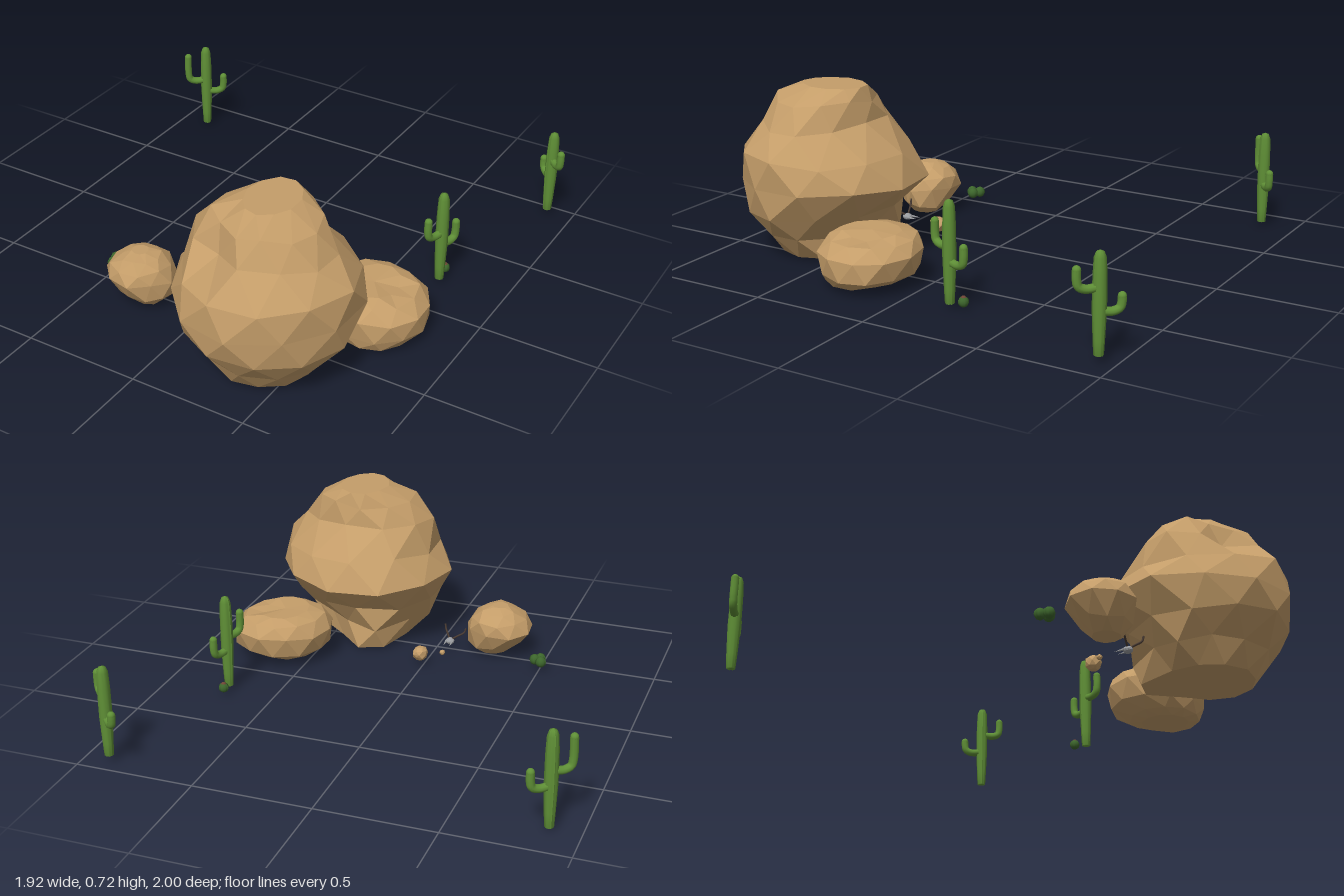
import * as THREE from 'three';

const mat = (color, flatShading = false) => new THREE.MeshStandardMaterial({ color, flatShading });
const rockMat = mat(0xc49d69, true);
const greenMat = mat(0x5f8f36);
const darkGreenMat = mat(0x3d662c);
const flowerMat = mat(0x6e4636);
const boneMat = mat(0x9a9ca0, true);
const hornMat = mat(0x4a3c34);
const vec = (x, y, z) => new THREE.Vector3(x, y, z);

function seeded(seed) {
  let s = seed;
  return () => (s = (s * 16807) % 2147483647) / 2147483647;
}

function addMesh(parent, name, geometry, material) {
  const m = new THREE.Mesh(geometry, material);
  m.name = name;
  parent.add(m);
  return m;
}

// Faceted boulder from staggered rings: [y, xMin, xMax, zMin, zMax].
// radii shapes the outline around the vertical axis, from +x towards +z.
function boulder(rings, segments, seed, { radii = [1], jitter, dents = [] }) {
  const rnd = seeded(seed);
  const pts = [];
  const radiusAt = (a) => {
    const t = ((a / (Math.PI * 2)) % 1) * radii.length;
    const i = Math.floor(t);
    return THREE.MathUtils.lerp(radii[i % radii.length], radii[(i + 1) % radii.length], t - i);
  };
  const height = rings[rings.length - 1][0] - rings[0][0];
  rings.forEach(([y, x0, x1, z0, z1], k) => {
    const inner = k > 0 && k < rings.length - 1;
    for (let j = 0; j < segments; j++) {
      const a = ((j + k / 2) / segments) * Math.PI * 2;
      const r = radiusAt(a) * (1 + (rnd() - 0.3) * jitter);
      const p = vec(
        (x0 + x1) / 2 + (Math.cos(a) * r * (x1 - x0)) / 2,
        y + (inner ? (rnd() - 0.5) * height * jitter : 0),
        (z0 + z1) / 2 + (Math.sin(a) * r * (z1 - z0)) / 2);
      // push vertices near a dent or bulge
      for (const { at, size, push } of dents) {
        p.addScaledVector(push, Math.max(0, 1 - p.distanceTo(at) / size));
      }
      pts.push(p);
    }
  });
  const index = [];
  for (let k = 0; k < rings.length - 1; k++) {
    for (let j = 0; j < segments; j++) {
      const n = (j + 1) % segments;
      const a = k * segments + j, b = k * segments + n;
      index.push(a, a + segments, b, b, a + segments, b + segments);
    }
  }
  // close the bottom and top with fans
  const last = (rings.length - 1) * segments;
  for (const start of [0, last]) {
    const c = vec(0, 0, 0);
    for (let j = 0; j < segments; j++) c.addScaledVector(pts[start + j], 1 / segments);
    const ci = pts.push(c) - 1;
    for (let j = 0; j < segments; j++) {
      const a = start + j, b = start + ((j + 1) % segments);
      if (start === 0) index.push(ci, a, b);
      else index.push(a, ci, b);
    }
  }
  const g = new THREE.BufferGeometry().setFromPoints(pts);
  g.setIndex(index);
  g.computeVertexNormals();
  return g;
}

// Small rounded pebble
function pebble(parent, name, x, y, z, r, seed) {
  const rings = [[-0.85, 0.5], [-0.4, 0.9], [0.1, 1], [0.55, 0.85], [0.9, 0.4]].map(([h, w]) =>
    [y + h * r, x - w * r, x + w * r, z - w * r, z + w * r]);
  addMesh(parent, name, boulder(rings, 7, seed, { jitter: 0.15 }), rockMat);
}

// Pinch every other column of vertices to make vertical ribs
function addRibs(g, column) {
  const p = g.attributes.position;
  for (let i = 0; i < p.count; i++) {
    const rib = column(i) % 2 ? 0.85 : 1;
    p.setXYZ(i, p.getX(i) * rib, p.getY(i), p.getZ(i) * rib);
  }
  g.computeVertexNormals();
  return g;
}

// Ribbed trunk with a rounded top
function trunkGeometry(height, r) {
  const profile = [[0, 0], [0.7, 0], [0.82, 0.15], [1, 0.45], [0.97, 0.75], [0.85, 0.93], [0.55, 0.985], [0, 1]]
    .map(([x, y]) => new THREE.Vector2(x * r, y * height));
  return addRibs(new THREE.LatheGeometry(profile, 20), (i) => Math.floor(i / profile.length));
}

// Bent arm: out from the trunk, then up to a rounded tip
function cactusArm(parent, name, side, elbow, tip, reach) {
  const r = 0.0165;
  const curve = new THREE.CatmullRomCurve3([
    [0, elbow + 0.005], [reach * 0.6, elbow], [reach * 0.92, elbow + 0.012],
    [reach, elbow + 0.04], [reach, tip - r],
  ].map(([x, y]) => vec(side * x, y, 0)));
  addMesh(parent, name, new THREE.TubeGeometry(curve, 16, r, 10), greenMat);
  addMesh(parent, name + 'Tip', new THREE.SphereGeometry(r, 10, 8), greenMat)
    .position.set(side * reach, tip - r, 0);
}

// Tall cactus; (dx, dz) is the direction of its higher arm
function cactus({ x, y, z, top, dx, dz, high, low }) {
  const g = new THREE.Group();
  g.name = 'tallCactus';
  g.position.set(x, 0, z);
  g.rotation.y = Math.atan2(-dz, dx);
  addMesh(g, 'trunk', trunkGeometry(top - y, 0.027), greenMat).position.y = y;
  cactusArm(g, 'highArm', 1, high[0], high[1], 0.085);
  cactusArm(g, 'lowArm', -1, low[0], low[1], 0.083);
  return g;
}

// Small ribbed ball cactus
function ballCactus(parent, x, y, z, r) {
  const g = addRibs(new THREE.SphereGeometry(r, 16, 8), (i) => i % 17);
  addMesh(parent, 'ballCactus', g, darkGreenMat).position.set(x, y, z);
}

// Bleached animal skull with two curved horns
function skull() {
  const g = new THREE.Group();
  g.name = 'skull';
  const head = addMesh(g, 'cranium', new THREE.IcosahedronGeometry(0.02, 1), boneMat);
  head.position.set(-0.058, 0.035, 0.51);
  head.scale.set(1, 0.75, 1.1);
  for (const s of [-1, 1]) {
    const jaw = addMesh(g, 'jaw', new THREE.ConeGeometry(0.007, 0.05, 6), boneMat);
    jaw.position.set(-0.058 + s * 0.014, 0.035, 0.478);
    jaw.rotation.x = -Math.PI / 2;
  }
  for (const tip of [vec(-0.125, 0.097, 0.535), vec(-0.02, 0.094, 0.56)]) {
    const start = vec(-0.058, 0.038, 0.51);
    const near = start.clone().lerp(tip, 0.45).add(vec(0, -0.008, 0));
    const far = start.clone().lerp(tip, 0.9).add(vec(0, -0.016, 0));
    const curve = new THREE.CatmullRomCurve3([start, near, far, tip]);
    addMesh(g, 'horn', new THREE.TubeGeometry(curve, 14, 0.0045, 6), hornMat);
  }
  return g;
}

export function createModel() {
  const model = new THREE.Group();
  model.name = 'desertRocks';

  // Boulders; the large one has a notch at the front, a foot at the back and an undercut beside it
  addMesh(model, 'largeBoulder', boulder([
    [0.01, 0.16, 0.57, 0.44, 0.83], [0.1, 0.09, 0.65, 0.41, 0.89], [0.21, 0.03, 0.72, 0.31, 0.985],
    [0.33, -0.04, 0.76, 0.205, 1.01], [0.45, 0.03, 0.74, 0.26, 0.99], [0.57, 0.055, 0.66, 0.39, 0.88],
    [0.67, 0.145, 0.59, 0.41, 0.83], [0.722, 0.26, 0.48, 0.43, 0.72],
  ], 11, 7, {
    radii: [1, 0.94, 0.92, 0.99, 0.94, 0.89, 0.98, 0.97, 1.02, 1, 0.97, 0.98],
    jitter: 0.045,
    dents: [
      { at: vec(0.25, 0.6, 0.85), size: 0.16, push: vec(0.03, -0.02, -0.1) },
      { at: vec(0.26, 0.02, 0.42), size: 0.2, push: vec(-0.01, 0, -0.14) },
      { at: vec(0.55, 0.12, 0.42), size: 0.17, push: vec(-0.06, 0, 0.07) },
    ],
  }), rockMat);
  addMesh(model, 'flatBoulder', boulder([
    [0, 0.53, 0.73, 0.16, 0.36], [0.02, 0.49, 0.79, 0.1, 0.4], [0.065, 0.43, 0.85, 0.025, 0.415],
    [0.15, 0.41, 0.855, 0.005, 0.42], [0.2, 0.45, 0.8, 0.035, 0.39], [0.222, 0.52, 0.73, 0.09, 0.34],
  ], 11, 23, {
    jitter: 0.05,
    dents: [{ at: vec(0.71, 0.22, 0.2), size: 0.1, push: vec(-0.02, -0.03, 0) }],
  }), rockMat);
  addMesh(model, 'smallBoulder', boulder([
    [0.015, -0.31, -0.19, 0.48, 0.59], [0.055, -0.375, -0.145, 0.44, 0.64], [0.13, -0.43, -0.135, 0.405, 0.675],
    [0.18, -0.405, -0.16, 0.41, 0.66], [0.22, -0.355, -0.2, 0.45, 0.62], [0.235, -0.32, -0.25, 0.5, 0.57],
  ], 9, 91, {
    jitter: 0.09,
    dents: [{ at: vec(-0.17, 0.16, 0.62), size: 0.08, push: vec(-0.02, 0, -0.02) }],
  }), rockMat);
  pebble(model, 'pebble', 0.015, 0.055, 0.3, 0.034, 5);
  pebble(model, 'tinyPebble', -0.063, 0.035, 0.38, 0.012, 13);

  // Cacti
  model.add(
    cactus({ x: -0.873, y: 0.01, z: -0.84, top: 0.418, dx: -0.075, dz: 0.06, high: [0.24, 0.385], low: [0.18, 0.27] }),
    cactus({ x: 0.89, y: 0.03, z: -0.935, top: 0.42, dx: 0.065, dz: 0.065, high: [0.28, 0.37], low: [0.19, 0.26] }),
    cactus({ x: 0.713, y: 0.02, z: -0.205, top: 0.438, dx: -0.03, dz: 0.095, high: [0.245, 0.348], low: [0.185, 0.28] }));
  for (const [x, z] of [[-0.51, 0.41], [-0.478, 0.428], [-0.5, 0.445]]) ballCactus(model, x, 0.046, z, 0.024);
  ballCactus(model, 0.71, 0.037, -0.265, 0.022);
  addMesh(model, 'flower', new THREE.SphereGeometry(0.013, 8, 6), flowerMat).position.set(0.71, 0.049, -0.265);

  model.add(skull());
  return model;
}
